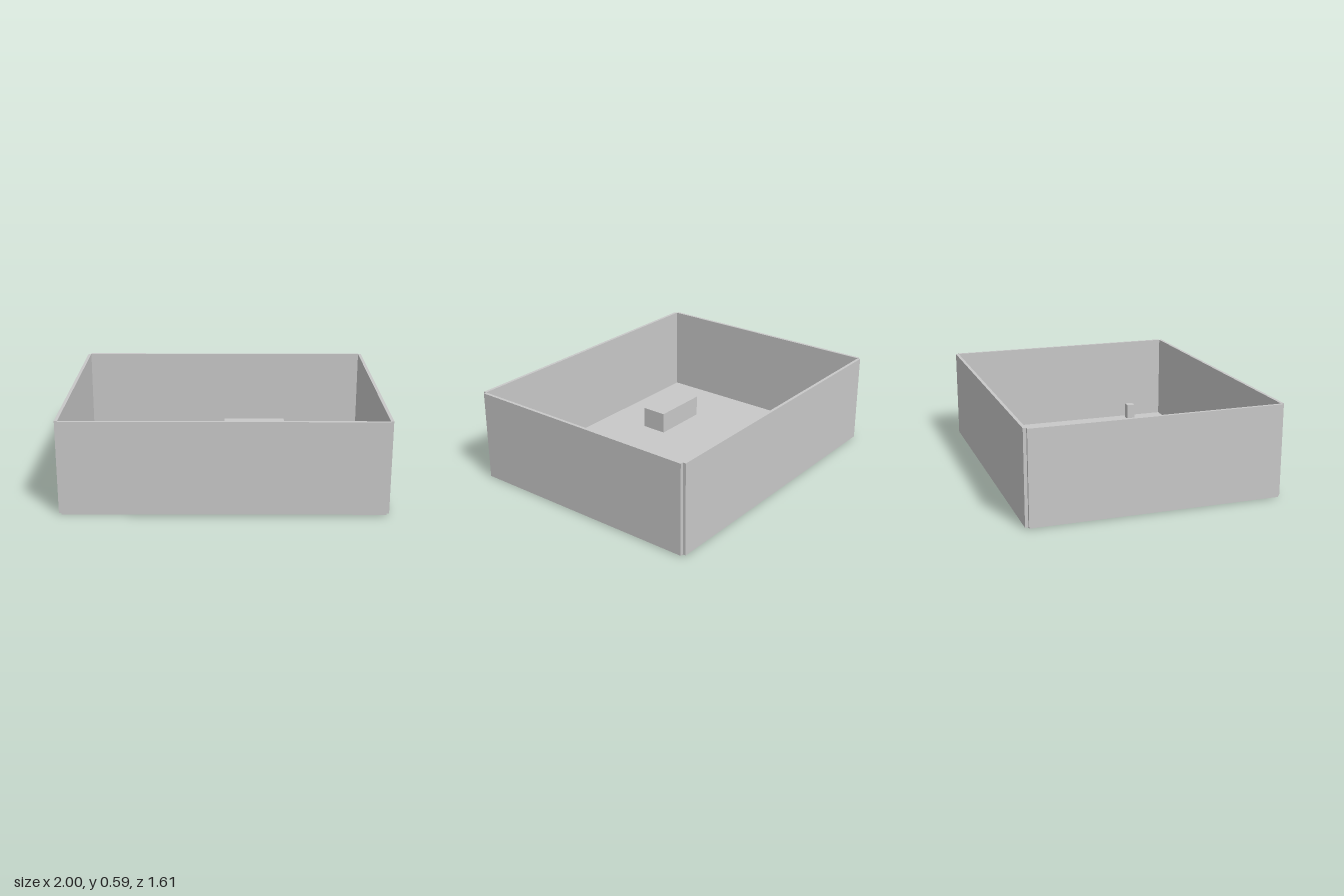
import * as THREE from 'three';

// Room proportions: scale S, inner size 10 x 8, walls 3 high and 0.1 thick
const S = 0.196;
const W = 10 * S, D = 8 * S, H = 3 * S, T = 0.1 * S;
const FLOOR = 0.0098;

export function createModel() {
  const room = new THREE.Group();
  room.name = 'room';
  const grey = new THREE.MeshStandardMaterial({ color: 0xc8c8c8 });
  grey.name = 'light grey';

  // Box standing on height y, centred on x and z
  function block(name, w, h, d, x, y, z) {
    const mesh = new THREE.Mesh(new THREE.BoxGeometry(w, h, d), grey);
    mesh.name = name;
    mesh.position.set(x, y + h / 2, z);
    room.add(mesh);
  }

  block('floor', W, FLOOR, D, 0, 0, 0);

  // Walls stand outside the floor and leave small notches at the corners
  for (const s of [1, -1]) {
    block(s > 0 ? 'frontWall' : 'backWall', W, H, T, 0, FLOOR / 2, s * (D + T) / 2);
    block(s > 0 ? 'leftWall' : 'rightWall', T, H, D, s * (W + T) / 2, FLOOR / 2, 0);
  }

  // Furniture blocks: name, x range, z range, top height
  const furniture = [
    ['backBench', 0, 0.431, -0.588, -0.414, 0.159],
    ['frontBench', -0.588, -0.196, 0.294, 0.469, 0.153],
    ['cabinet', 0.627, 0.745, -0.588, -0.49, 0.118],
    ['smallPost', 0.882, 0.94, 0.49, 0.548, 0.118],
  ];
  for (const [name, x0, x1, z0, z1, top] of furniture) {
    const base = FLOOR / 2;
    block(name, x1 - x0, top - base, z1 - z0, (x0 + x1) / 2, base, (z0 + z1) / 2);
  }
  return room;
}
